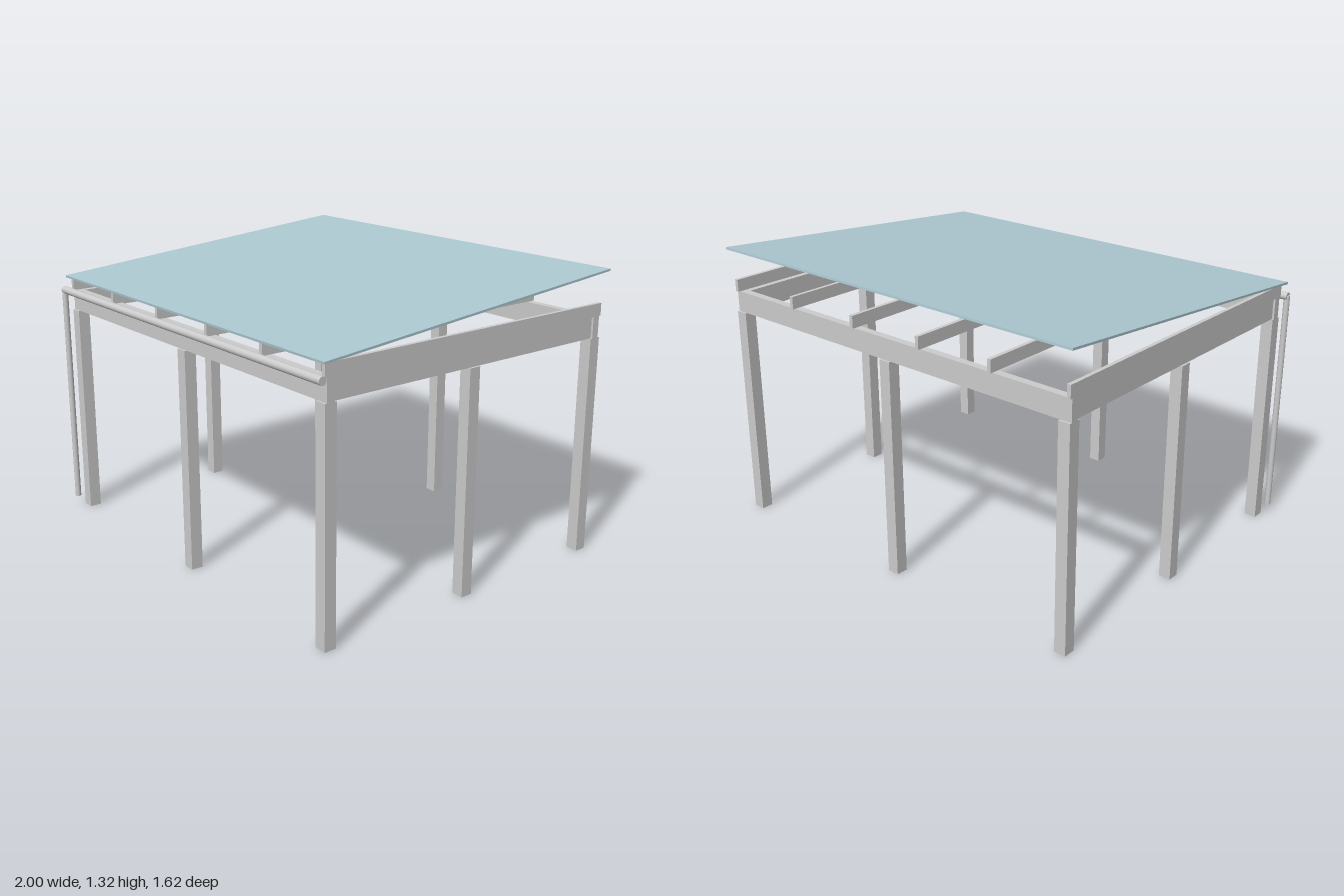
import * as THREE from 'three';

export function createModel() {
  const model = new THREE.Group();
  const grey = new THREE.MeshStandardMaterial({ color: 0xcccccc });
  const panelMat = new THREE.MeshStandardMaterial({ color: 0xadc8d1 });

  const add = (name, geometry, x, y, z, material = grey) => {
    const mesh = new THREE.Mesh(geometry, material);
    mesh.name = name;
    mesh.position.set(x, y, z);
    model.add(mesh);
    return mesh;
  };
  // Box given by its extents on each axis
  const box = (name, x0, x1, y0, y1, z0, z1) =>
    add(name, new THREE.BoxGeometry(x1 - x0, y1 - y0, z1 - z0),
      (x0 + x1) / 2, (y0 + y1) / 2, (z0 + z1) / 2);

  const postXs = [-0.94, 0.005, 0.95];
  const postZs = [-0.761, -0.011, 0.739];
  const beamBottom = 1.015, beamTop = 1.113, rafterTop = 1.17;
  const halfPost = 0.028, halfBeam = 0.018;

  // Posts around the perimeter, none in the centre
  postXs.forEach((x, i) => postZs.forEach((z, j) => {
    if (i === 1 && j === 1) return;
    box('post', x - halfPost, x + halfPost, 0, beamBottom, z - halfPost, z + halfPost);
  }));

  // Front and back beams run the full width
  for (const [name, z] of [['frontBeam', postZs[2]], ['backBeam', postZs[0]]]) {
    box(name, postXs[0] - halfPost, postXs[2] + halfPost, beamBottom, beamTop, z - halfBeam, z + halfBeam);
  }
  // Side beams fit between them
  for (const [name, x] of [['rightBeam', postXs[0]], ['leftBeam', postXs[2]]]) {
    box(name, x - halfBeam, x + halfBeam, beamBottom, beamTop, postZs[0] + halfBeam, postZs[2] - halfBeam);
  }

  // Rafters resting on the beams
  for (let i = 0; i < 6; i++) {
    const x = -0.959 + i * 0.3856;
    box('rafter', x - 0.009, x + 0.009, beamTop, rafterTop, -0.789, 0.767);
  }

  // Sloping roof panel, low at the front
  const rise = 0.141, run = 1.595;
  const roof = add('roofPanel', new THREE.BoxGeometry(1.986, 0.01, Math.hypot(rise, run)),
    0.005, 1.247, -0.012, panelMat);
  roof.rotation.x = Math.atan2(rise, run);

  // Round gutter and downpipe at the front right corner
  const gutter = add('gutter', new THREE.CylinderGeometry(0.018, 0.018, 1.99, 16), 0.004, 1.112, 0.794);
  gutter.rotation.z = Math.PI / 2;
  add('downpipe', new THREE.CylinderGeometry(0.014, 0.014, 1.07, 16), -0.985, 0.58, 0.796);

  return model;
}
